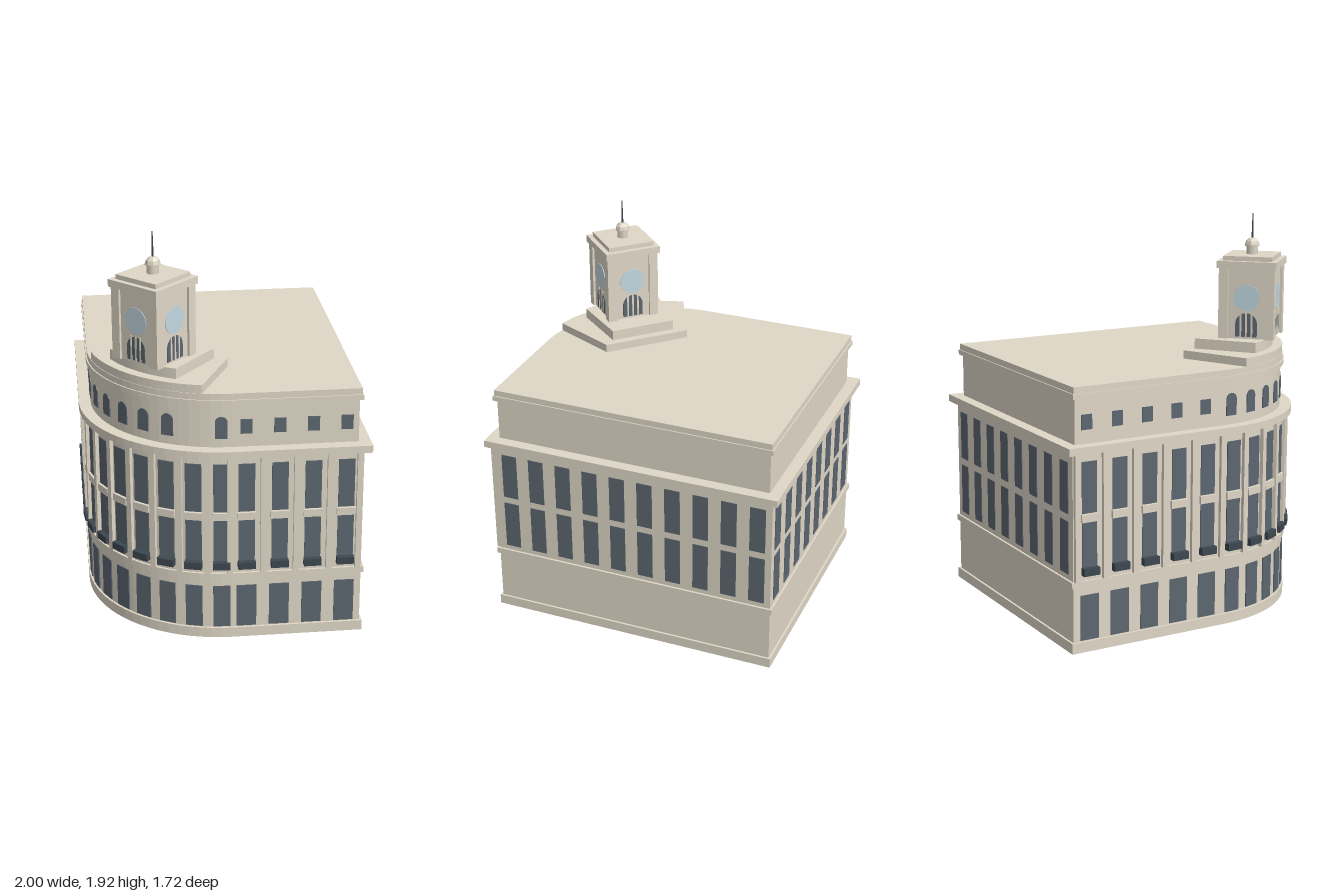
import * as THREE from 'three';

const mat = (name, color) => Object.assign(new THREE.MeshStandardMaterial({ color }), { name });
const RAD = Math.PI / 180;

export function createModel() {
  const stone = mat('stone', 0xdfd7c7);
  const glass = mat('window glass', 0x5c6770);
  const iron = mat('dark iron', 0x3d4850);
  const dial = mat('pale blue dial', 0xc2d8e1);
  const model = new THREE.Group();
  model.name = 'cornerBuilding';

  const add = (parent, name, geometry, material, x = 0, y = 0, z = 0) => {
    const m = new THREE.Mesh(geometry, material);
    m.name = name;
    m.position.set(x, y, z);
    parent.add(m);
    return m;
  };
  const box = (parent, name, material, w, y0, y1, d, x = 0, z = 0) =>
    add(parent, name, new THREE.BoxGeometry(w, y1 - y0, d), material, x, (y0 + y1) / 2, z);

  // Plan: a square-cornered block with its front corner rounded about (CX, CZ)
  const CX = 0.07, CZ = 0.184, R = 0.676, SEG = 20;
  const WALL = -0.033, ATTIC = -0.057;
  const diag = (p, q) => [(p - q) / Math.SQRT2, (p + q) / Math.SQRT2];
  const arcPoints = (r, a0, a1) => {
    const pts = [];
    for (let i = 0; i <= SEG; i++) {
      const a = (a0 + (a1 - a0) * i / SEG) * RAD;
      pts.push([CX + r * Math.sin(a), CZ + r * Math.cos(a)]);
    }
    return pts;
  };
  const outline = d => [
    diag(-0.661 - d, 0.757 + d), ...arcPoints(R + d, -45, 45),
    diag(0.856 + d, -0.56 - d), diag(-0.661 - d, -0.56 - d),
  ];
  const toPlan = pts => pts.map(([x, z]) => new THREE.Vector2(x, -z));
  const slab = (name, pts, y0, y1, hole) => {
    const shape = new THREE.Shape(toPlan(pts));
    if (hole) shape.holes.push(new THREE.Path(toPlan(hole)));
    const g = new THREE.ExtrudeGeometry(shape, { depth: y1 - y0, bevelEnabled: false });
    g.rotateX(-Math.PI / 2);
    add(model, name, g, stone, 0, y0, 0);
  };

  // Hollow ground storey, open underneath
  const hollow = outline(-0.042);
  slab('plinth', outline(-0.022), 0, 0.05, hollow);
  slab('groundStorey', outline(WALL), 0.05, 0.31, hollow);

  // Upper storeys and mouldings
  [
    ['stringCourse', -0.022, 0.31, 0.34],
    ['mainStoreys', WALL, 0.34, 0.935],
    ['mainCornice', 0, 0.935, 0.97],
    ['attic', ATTIC, 0.97, 1.18],
    ['atticCornice', -0.041, 1.18, 1.205],
    ['parapet', -0.047, 1.205, 1.235],
  ].forEach(([name, d, y0, y1]) => slab(name, outline(d), y0, y1));

  // Stations on the wall face: groups whose local +z points outwards
  const station = (name, x, z, deg) => {
    const g = new THREE.Group();
    g.name = name;
    g.position.set(x, 0, z);
    g.rotation.y = deg * RAD;
    model.add(g);
    return g;
  };
  const onLeft = (name, x) => station(name, x, x + 1.024, -45);
  const onRight = (name, x) => station(name, x, 1.164 - x, 45);
  const onCurve = (name, deg) => station(name,
    CX + (R + WALL) * Math.sin(deg * RAD), CZ + (R + WALL) * Math.cos(deg * RAD), deg);

  const archGeometry = (w, h, depth) => {
    const r = w / 2, s = new THREE.Shape();
    s.moveTo(-r, 0);
    s.lineTo(r, 0);
    s.lineTo(r, h - r);
    s.absarc(0, h - r, r, 0, Math.PI, false);
    s.lineTo(-r, 0);
    return new THREE.ExtrudeGeometry(s, { depth, bevelEnabled: false, curveSegments: 10 });
  };

  // One bay of the street front
  const dressBay = (g, curved, atticWindow = true) => {
    box(g, 'groundWindow', glass, curved ? 0.08 : 0.094, 0.055, 0.27, 0.008);
    box(g, 'lowerWindow', glass, 0.076, 0.365, 0.615, 0.008);
    box(g, 'upperWindow', glass, 0.076, 0.655, 0.895, 0.008);
    box(g, 'spandrel', stone, 0.086, 0.615, 0.652, 0.026);
    box(g, 'balconyRail', iron, 0.082, 0.366, 0.402, 0.03, 0, 0.013);
    const inset = ATTIC - WALL;
    if (!curved) box(g, 'atticWindow', glass, 0.055, 1.035, 1.105, 0.008, 0, inset);
    else if (atticWindow) add(g, 'archedAtticWindow', archGeometry(0.058, 0.107, 0.008), glass, 0, 1.013, inset - 0.004);
  };
  for (let i = 0; i < 5; i++) dressBay(onLeft('leftBay', -0.897 + 0.111 * i), false);
  for (let i = 0; i < 8; i++) dressBay(onCurve('curvedBay', -40.6 + 11.6 * i), true, i !== 6);
  for (let i = 0; i < 4; i++) dressBay(onRight('rightBay', 0.572 + 0.109 * i), false);

  // Pilasters between the bays
  const pilaster = g => box(g, 'pilasterShaft', stone, 0.028, 0.34, 0.935, 0.036);
  for (let i = 0; i <= 5; i++) pilaster(onLeft('pilaster', Math.max(-0.943, -0.9525 + 0.111 * i)));
  for (let i = 0; i < 7; i++) pilaster(onCurve('pilaster', -34.8 + 11.6 * i));
  for (let i = 0; i <= 4; i++) pilaster(onRight('pilaster', Math.min(0.942, 0.5175 + 0.109 * i)));

  // Plain window columns on the two rear walls
  const rearColumn = g => {
    box(g, 'rearLowerWindow', glass, 0.079, 0.365, 0.615, 0.006);
    box(g, 'rearUpperWindow', glass, 0.079, 0.65, 0.89, 0.006);
  };
  for (let i = 0; i < 10; i++) {
    const z = 0.152 - 0.102 * i;
    rearColumn(station('rearRightColumn', z + 0.745, z, 135));
  }
  for (let i = 0; i < 8; i++) {
    const x = -0.953 + 0.11 * (i + 0.5);
    rearColumn(station('rearLeftColumn', x, -0.888 - x, -135));
  }

  // Stepped tower base following the curved front
  slab('lowerTowerStep', [...arcPoints(0.626, -32.8, 32.8), [0.29, 0.38], [-0.15, 0.38]], 1.235, 1.275);
  slab('upperTowerStep', [...arcPoints(0.578, -20.3, 20.3), [0.24, 0.42], [-0.09, 0.42]], 1.275, 1.325);

  // Clock tower
  const tower = new THREE.Group();
  tower.name = 'clockTower';
  tower.position.set(0.085, 0, 0.66);
  model.add(tower);
  box(tower, 'towerShaft', stone, 0.246, 1.325, 1.665, 0.246);
  for (const sx of [-1, 1]) for (const sz of [-1, 1]) {
    box(tower, 'cornerPier', stone, 0.046, 1.325, 1.665, 0.046, sx * 0.112, sz * 0.112);
  }
  box(tower, 'towerCornice', stone, 0.288, 1.665, 1.7, 0.288);
  box(tower, 'towerCap', stone, 0.238, 1.7, 1.722, 0.238);
  for (let i = 0; i < 4; i++) {
    const side = new THREE.Group();
    side.name = 'towerSide';
    side.rotation.y = i * Math.PI / 2;
    tower.add(side);
    const clock = new THREE.CylinderGeometry(0.064, 0.064, 0.006, 32).rotateX(Math.PI / 2);
    add(side, 'clockFace', clock, dial, 0, 1.525, 0.123);
    add(side, 'archWindow', archGeometry(0.106, 0.115, 0.006), glass, 0, 1.335, 0.12);
    for (const x of [-0.027, 0, 0.027]) box(side, 'mullion', stone, 0.009, 1.335, 1.45, 0.006, x, 0.125);
  }

  // Lantern, small dome and spire
  add(tower, 'lantern', new THREE.CylinderGeometry(0.028, 0.028, 0.046, 8), stone, 0, 1.745, 0);
  const dome = new THREE.SphereGeometry(0.036, 8, 3, 0, Math.PI * 2, 0, Math.PI / 2).toNonIndexed();
  dome.computeVertexNormals();
  add(tower, 'lanternDome', dome, stone, 0, 1.766, 0);
  add(tower, 'domeBase', new THREE.CylinderGeometry(0.036, 0.036, 0.006, 8), stone, 0, 1.764, 0);
  add(tower, 'spire', new THREE.CylinderGeometry(0.002, 0.005, 0.12, 8), iron, 0, 1.857, 0);

  return model;
}
